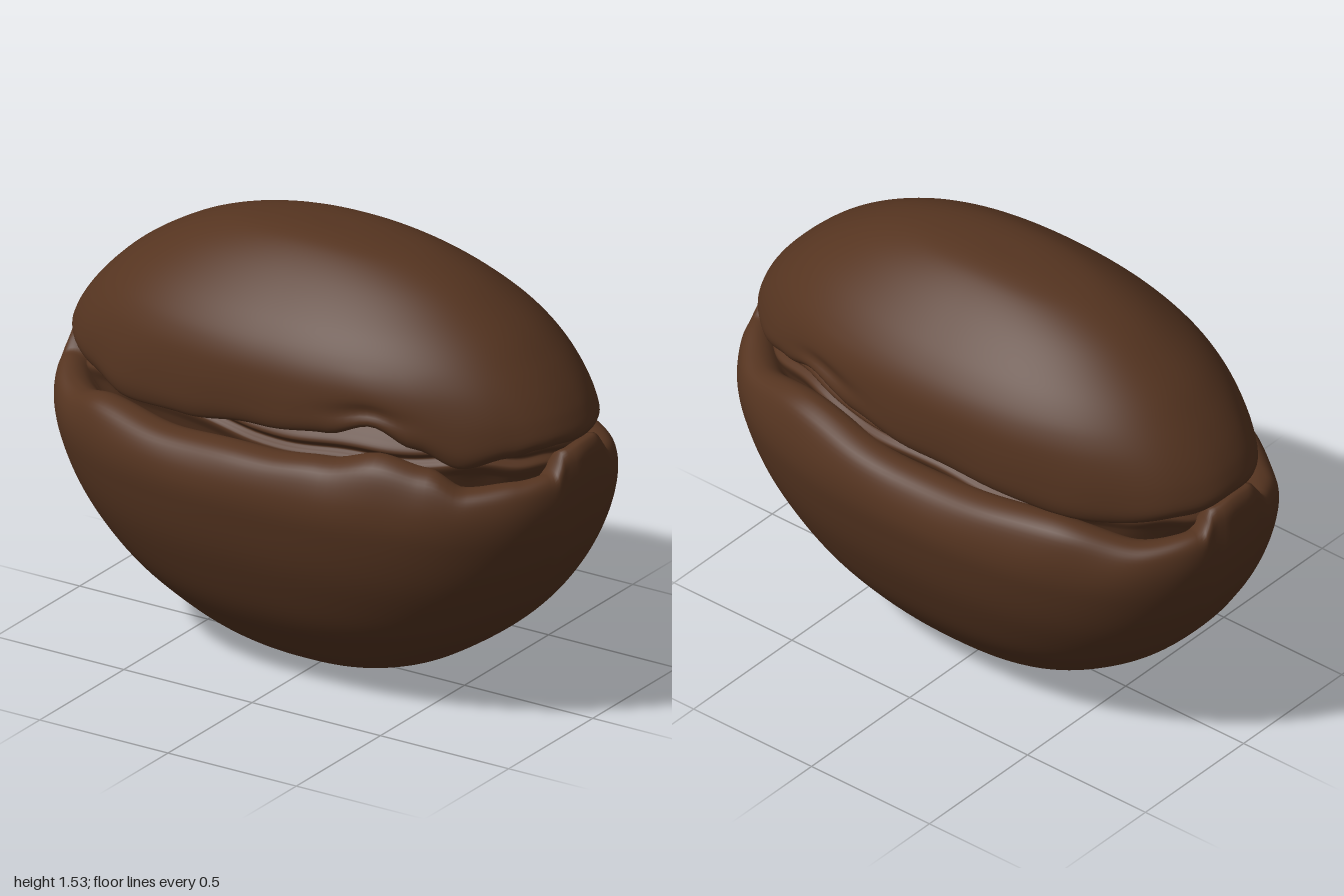
import * as THREE from 'three';

const SEGMENTS = 200;
const smooth = (t) => t * t * (3 - 2 * t);
const ramp = (a, b, v) => smooth(THREE.MathUtils.clamp((v - a) / (b - a), 0, 1));

// Eased height around the rim; angle in degrees runs +x, +z, -x, -z.
function rimHeight(table, deg) {
  let k = 0;
  while (k < table.length - 2 && deg > table[k + 1][0]) k++;
  const [a, ya] = table[k];
  const [b, yb] = table[k + 1];
  return ya + (yb - ya) * smooth((deg - a) / (b - a));
}

// Lofts oval rings [halfX, halfZ, y, rimWeight]; shape(p, deg, weight) bends each point.
function loft(name, rings, steps, power, shape, material) {
  const path = new THREE.CatmullRomCurve3(rings.map((r) => new THREE.Vector3(r[0], r[1], r[2])));
  const positions = [];
  const indices = [];
  const p = new THREE.Vector3();
  const bend = (v) => Math.sign(v) * Math.abs(v) ** (2 / power);
  for (let i = 0; i <= steps; i++) {
    const t = i / steps;
    const ring = path.getPoint(t);
    const f = t * (rings.length - 1);
    const k = Math.min(Math.floor(f), rings.length - 2);
    const weight = THREE.MathUtils.lerp(rings[k][3], rings[k + 1][3], f - k);
    for (let j = 0; j < SEGMENTS; j++) {
      const a = (j / SEGMENTS) * Math.PI * 2;
      p.set(ring.x * bend(Math.cos(a)), ring.z, ring.y * bend(Math.sin(a)));
      shape(p, (j / SEGMENTS) * 360, weight);
      positions.push(p.x, p.y, p.z);
      if (i === steps) continue;
      const n = (j + 1) % SEGMENTS;
      const q = i * SEGMENTS;
      indices.push(q + j, q + SEGMENTS + j, q + n);
      indices.push(q + n, q + SEGMENTS + j, q + SEGMENTS + n);
    }
  }
  const geometry = new THREE.BufferGeometry();
  geometry.setAttribute('position', new THREE.Float32BufferAttribute(positions, 3));
  geometry.setIndex(indices);
  geometry.computeVertexNormals();
  const mesh = new THREE.Mesh(geometry, material);
  mesh.name = name;
  return mesh;
}

// Gentle lumps that fade away from the rim
function lumps(p, deg, weight, amount) {
  const a = THREE.MathUtils.degToRad(deg);
  const s = amount * weight * (Math.sin(a * 9 + 1) + 0.6 * Math.sin(a * 17 + p.y * 8));
  p.x *= 1 + s * 0.3;
  p.z *= 1 + s;
}

export function createModel() {
  const group = new THREE.Group();
  group.name = 'splitBean';
  const brown = new THREE.MeshStandardMaterial({ color: 0x553420, side: THREE.DoubleSide });
  brown.name = 'roasted brown';

  // Lower half: deep bowl with a wavy rolled lip and a tongue at each end
  const bowlRim = [
    [0, 0.98], [8, 0.97], [14, 0.9], [28, 0.89], [44, 0.875], [54, 0.93], [66, 0.96],
    [78, 0.915], [90, 0.895], [107, 0.88], [127, 0.905], [143, 0.865], [166, 0.9], [172, 0.97],
    [180, 0.98], [188, 0.97], [194, 0.9], [215, 0.88], [240, 0.93], [270, 0.9], [295, 0.95],
    [322, 0.88], [346, 0.9], [352, 0.97], [360, 0.98],
  ];
  const bowlRings = [
    [0, 0, 0.001, 0], [0.14, 0.085, 0.01, 0], [0.28, 0.17, 0.04, 0], [0.44, 0.26, 0.1, 0],
    [0.585, 0.342, 0.185, 0], [0.72, 0.415, 0.285, 0], [0.83, 0.473, 0.4, 0],
    [0.91, 0.522, 0.52, 0], [0.964, 0.554, 0.64, 0], [0.99, 0.57, 0.74, 0.1],
    [0.998, 0.56, 0.82, 0.4], [0.99, 0.528, 0.885, 0.85], [0.965, 0.475, 0.91, 1],
    [0.925, 0.425, 0.9, 1], [0.88, 0.385, 0.85, 0.7], [0.82, 0.34, 0.78, 0.2],
  ];
  group.add(loft('lowerHalf', bowlRings, 70, 2.4, (p, deg, w) => {
    // shallow grooves on both sides of the end tongues
    const depth = 0.014 * ramp(0.35, 0.85, p.y) * ramp(0.6, 0.9, Math.abs(p.x));
    p.x -= Math.sign(p.x) * depth * Math.exp(-(((Math.abs(p.z) - 0.11) / 0.03) ** 2));
    p.y += w * (rimHeight(bowlRim, deg) - 0.91);
    lumps(p, deg, w, 0.008);
  }, brown));

  // Upper half: long ridged dome whose rippled edge curls under
  const domeRim = [
    [0, 0.99], [12, 0.995], [20, 0.99], [30, 0.97], [44, 0.935], [56, 0.99], [66, 1.05],
    [76, 1.0], [90, 0.975], [107, 0.935], [125, 0.915], [140, 0.945], [155, 0.96], [166, 0.98],
    [180, 0.985], [200, 0.965], [230, 0.925], [270, 0.965], [285, 1.0], [298, 1.05], [310, 1.0],
    [325, 0.96], [345, 0.985], [360, 0.99],
  ];
  const domeRings = [
    [0.76, 0.3, 1.04, 0.3], [0.84, 0.37, 1.0, 0.7], [0.91, 0.425, 0.968, 1],
    [0.95, 0.46, 0.968, 1], [0.967, 0.476, 1.0, 0.75], [0.95, 0.481, 1.06, 0.4],
    [0.917, 0.479, 1.12, 0.2], [0.872, 0.47, 1.18, 0.08], [0.817, 0.446, 1.24, 0],
    [0.745, 0.402, 1.305, 0], [0.65, 0.342, 1.37, 0], [0.52, 0.262, 1.44, 0],
    [0.37, 0.186, 1.492, 0], [0.23, 0.128, 1.517, 0], [0.11, 0.065, 1.528, 0], [0, 0, 1.53, 0],
  ];
  group.add(loft('upperHalf', domeRings, 66, 2.15, (p, deg, w) => {
    // soft fold above the raised parts of the rim
    const fold = Math.exp(-(((p.x - 0.4) / 0.13) ** 2) - (((p.y - 1.07) / 0.035) ** 2));
    if (Math.abs(p.z) > 0.3) p.z -= Math.sign(p.z) * 0.015 * fold;
    p.y += w * (rimHeight(domeRim, deg) - 0.97);
    lumps(p, deg, w, 0.007);
  }, brown));

  // Crumpled core showing in the seam
  const coreRings = [
    [0.86, 0.38, 0.79, 0], [0.895, 0.41, 0.87, 1], [0.91, 0.43, 0.915, 1],
    [0.885, 0.41, 0.94, 1], [0.905, 0.435, 0.965, 1], [0.885, 0.415, 1.0, 1], [0.8, 0.35, 1.06, 0],
  ];
  group.add(loft('seamCore', coreRings, 36, 2.3, (p, deg, w) => {
    const a = THREE.MathUtils.degToRad(deg);
    p.y += w * (0.018 * Math.sin(a * 4 - 0.9) + 0.008 * Math.sin(a * 11));
    lumps(p, deg, w, 0.012);
  }, brown));
  return group;
}
